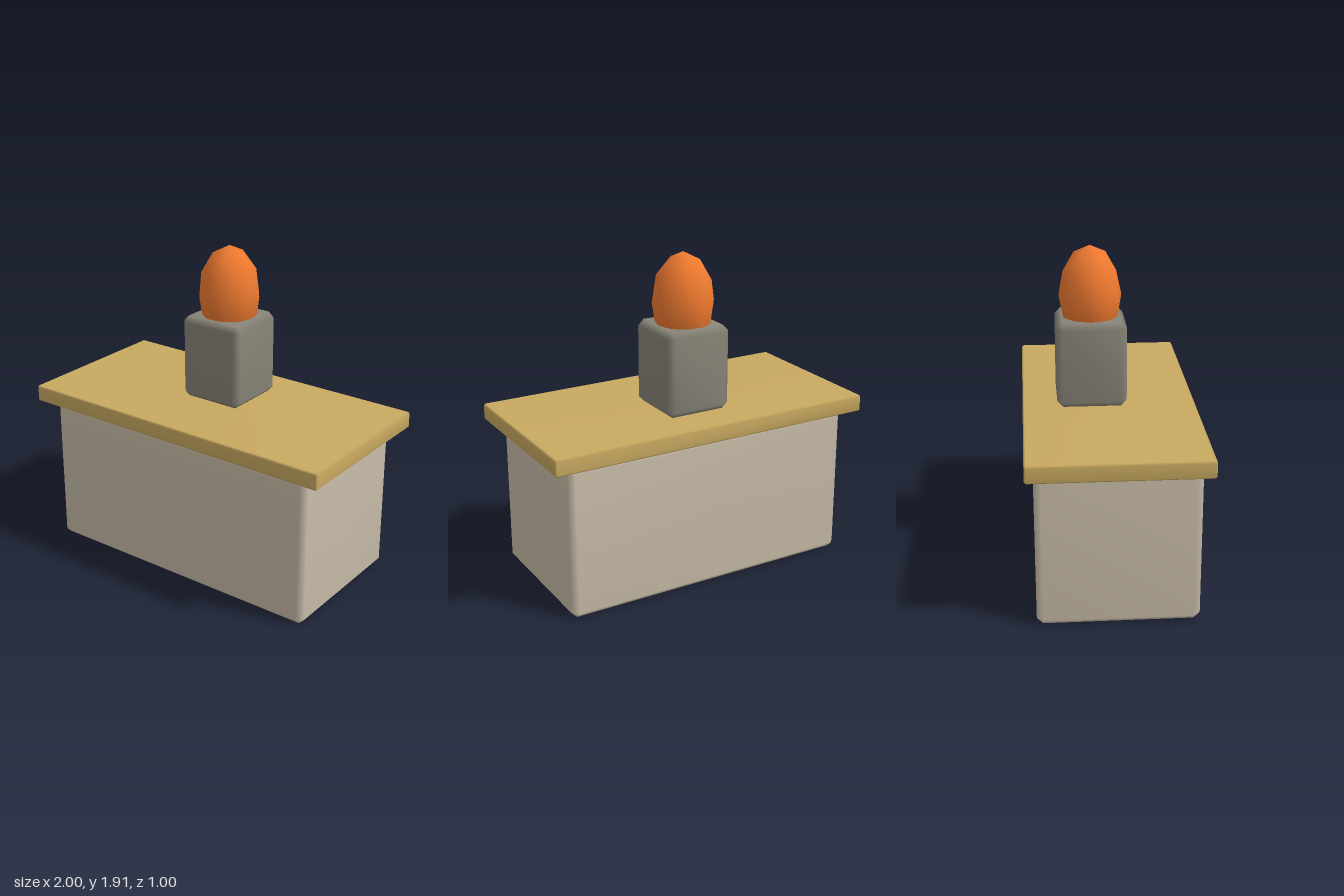
import * as THREE from 'three';
import { ConvexGeometry } from 'three/addons/geometries/ConvexGeometry.js';
import { mergeVertices } from 'three/addons/utils/BufferGeometryUtils.js';

// Box with single-step chamfers, softly shaded across the bevels
function chamferedBox(w, h, d, bevel) {
  const points = [];
  for (const x of [-1, 1]) for (const y of [-1, 1]) for (const z of [-1, 1]) {
    for (let axis = 0; axis < 3; axis++) {
      const inset = [bevel, bevel, bevel];
      inset[axis] = 0;
      points.push(new THREE.Vector3(
        x * (w / 2 - inset[0]), y * (h / 2 - inset[1]), z * (d / 2 - inset[2])));
    }
  }
  const hull = new ConvexGeometry(points);
  hull.deleteAttribute('normal');
  const geometry = mergeVertices(hull, 1e-5);
  geometry.computeVertexNormals();
  return geometry;
}

// Low-poly egg with a vertex at its top and five-fold facets around it
function flameGeometry(radius, height) {
  const geometry = new THREE.IcosahedronGeometry(1, 1);
  geometry.rotateX(-Math.atan((1 + Math.sqrt(5)) / 2));
  geometry.rotateY(Math.PI / 2);
  geometry.scale(radius, height / 2, radius);
  return geometry;
}

export function createModel() {
  const group = new THREE.Group();
  const add = (name, geometry, color, x, y, z) => {
    const mesh = new THREE.Mesh(geometry, new THREE.MeshStandardMaterial({ color }));
    mesh.name = name;
    mesh.position.set(x, y, z);
    group.add(mesh);
  };

  // Cabinet and overhanging slab
  add('base', chamferedBox(1.8, 0.9, 0.9, 0.035), 0xc8bca8, 0, 0.45, 0);
  add('tabletop', chamferedBox(2, 0.1, 1, 0.01), 0xc8a960, 0, 0.95, 0);

  // Block set toward the back, with the flame sunk into it
  add('burnerBlock', chamferedBox(0.4, 0.5, 0.4, 0.035), 0x888478, 0, 1.25, -0.1);
  add('flame', flameGeometry(0.18, 0.576), 0xf07a30, 0, 1.62, -0.1);

  return group;
}
